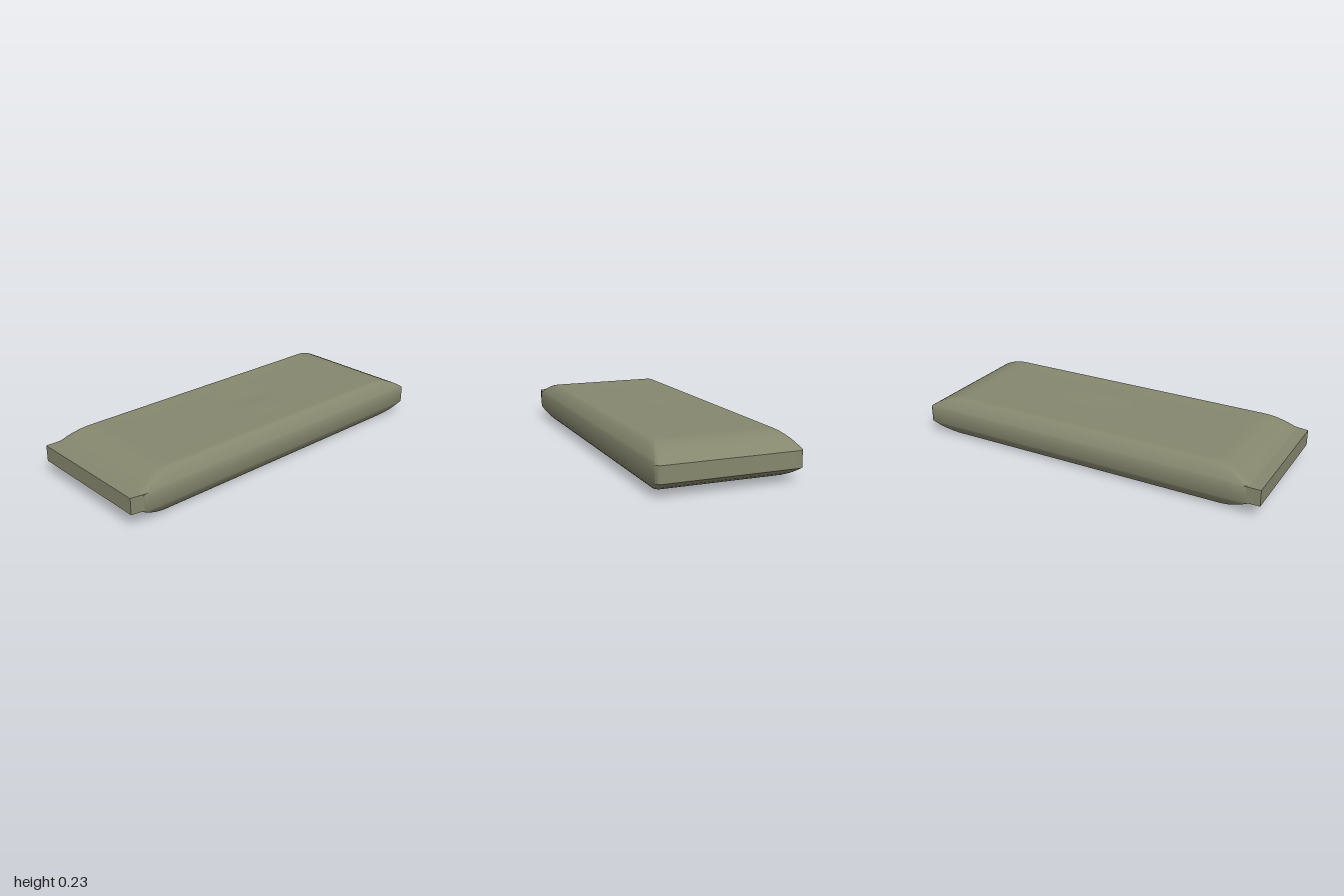
import * as THREE from 'three';
import { toCreasedNormals } from 'three/addons/utils/BufferGeometryUtils.js';

const MID = 0.115;        // height of the middle plane
const X0 = -0.945, X1 = 1, HZ = 0.376;
const CORNER = 5, EDGE = 20;

// Soft bump used for the shallow relief on the top face
const bump = (x, z, cx, cz, rx, rz) => Math.exp(-(((x - cx) / rx) ** 2) - ((z - cz) / rz) ** 2);

// Rounded rectangle loop in plan, counter-clockwise seen from +y
function loop(x0, x1, hz, r) {
  const pts = [];
  const corners = [[x1 - r, -hz + r, 0], [x0 + r, -hz + r, 1], [x0 + r, hz - r, 2], [x1 - r, hz - r, 3]];
  corners.forEach(([cx, cz, q], i) => {
    for (let k = 0; k <= CORNER; k++) {
      const a = (q + k / CORNER) * Math.PI / 2;
      pts.push([cx + r * Math.cos(a), cz - r * Math.sin(a)]);
    }
    // subdivide the straight edge towards the next corner
    const [nx, nz, nq] = corners[(i + 1) % 4];
    const b = nq * Math.PI / 2;
    const [sx, sz] = pts[pts.length - 1];
    const ex = nx + r * Math.cos(b), ez = nz - r * Math.sin(b);
    for (let k = 1; k < EDGE; k++) pts.push([sx + (ex - sx) * k / EDGE, sz + (ez - sz) * k / EDGE]);
  });
  return pts;
}

// Pillow-shaped body lofted from the bottom centre to the top centre
function bodyGeometry() {
  // half profile: inset in x, inset in z, height above the middle plane
  const half = [
    [0, 0, 0.043], [0.02, 0.007, 0.056], [0.045, 0.016, 0.071], [0.075, 0.026, 0.085],
    [0.105, 0.038, 0.098], [0.135, 0.048, 0.107], [0.165, 0.058, 0.113], [0.2, 0.072, 0.115],
  ];
  const rings = half.map(([ix, iz, h]) => [X0 + ix, X1 - ix, HZ - iz, h, 0.025]);
  const [fx0, fx1, fz] = rings[rings.length - 1];
  const cx = (fx0 + fx1) / 2, hx = (fx1 - fx0) / 2;
  for (let i = 1; i <= 14; i++) {
    const s = 1 - i / 14.05;
    const sink = 0.0025 * Math.min(1, i / 4);
    rings.push([cx - hx * s, cx + hx * s, fz * s, 0.115 - sink, 0.025 * s]);
  }
  const all = [...rings.slice().reverse().map(r => [...r, -1]), ...rings.map(r => [...r, 1])];

  const pos = [], idx = [];
  let n = 0;
  all.forEach(([x0, x1, hz, h, r, side]) => {
    const pts = loop(x0, x1, hz, r);
    n = pts.length;
    for (const [x, z] of pts) {
      let y = MID + side * h;
      // faint swelling and hollow near the middle of the top
      if (side > 0 && h > 0.112) {
        y += 0.002 * bump(x, z, 0.12, 0.12, 0.16, 0.09) - 0.004 * bump(x, z, 0.08, -0.04, 0.16, 0.08);
      }
      pos.push(x, y, z);
    }
  });
  for (let j = 0; j < all.length - 1; j++) {
    for (let i = 0; i < n; i++) {
      const a = j * n + i, b = j * n + (i + 1) % n;
      idx.push(a, b, a + n, b, b + n, a + n);
    }
  }
  // close the tiny centre holes
  const last = (all.length - 1) * n;
  for (let i = 1; i < n - 1; i++) idx.push(0, i + 1, i, last, last + i, last + i + 1);

  const g = new THREE.BufferGeometry();
  g.setAttribute('position', new THREE.Float32BufferAttribute(pos, 3));
  g.setIndex(idx);
  return toCreasedNormals(g, 0.8);
}

// Flat sealed strip across the -x end, narrowing a little on the front corner
function stripGeometry() {
  const s = new THREE.Shape([
    [-1, 0.375], [-1, -0.358], [-0.91, -0.374], [-0.91, 0.375],
  ].map(p => new THREE.Vector2(...p)));
  const g = new THREE.ExtrudeGeometry(s, { depth: 0.088, bevelEnabled: false });
  g.rotateX(-Math.PI / 2);
  g.translate(0, 0.076, 0);
  return g;
}

export function createModel() {
  const group = new THREE.Group();
  group.name = 'paddedSlab';
  const material = new THREE.MeshStandardMaterial({ color: 0x85876e });
  const add = (name, geometry) => {
    const mesh = new THREE.Mesh(geometry, material);
    mesh.name = name;
    group.add(mesh);
  };
  add('body', bodyGeometry());
  add('endStrip', stripGeometry());
  return group;
}
